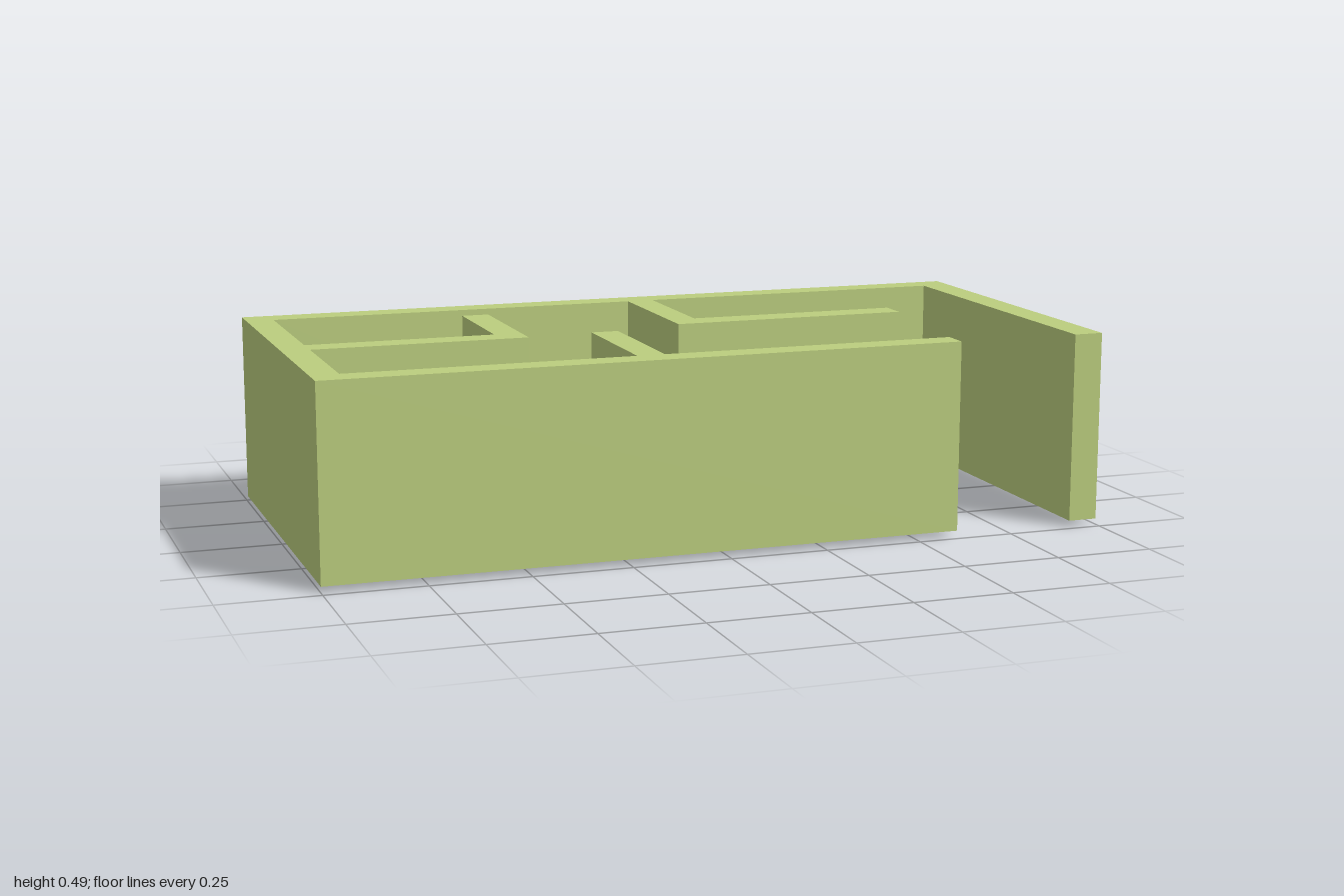
import * as THREE from 'three';
import { RoundedBoxGeometry } from 'three/addons/geometries/RoundedBoxGeometry.js';

const grey = new THREE.MeshStandardMaterial({ color: 0xcccccc });
const olive = new THREE.MeshStandardMaterial({ color: 0xbbcd7e });
const teal = new THREE.MeshStandardMaterial({ color: 0x91d1c6 });

// Box given by its limits on each axis; a radius rounds its edges.
function block(name, material, [x0, x1], [y0, y1], [z0, z1], radius = 0) {
  const size = [x1 - x0, y1 - y0, z1 - z0];
  const geometry = radius
    ? new RoundedBoxGeometry(...size, 4, radius)
    : new THREE.BoxGeometry(...size);
  const mesh = new THREE.Mesh(geometry, material);
  mesh.position.set((x0 + x1) / 2, (y0 + y1) / 2, (z0 + z1) / 2);
  mesh.name = name;
  return mesh;
}

function group(name, ...parts) {
  const g = new THREE.Group();
  g.name = name;
  g.add(...parts);
  return g;
}

// All walls as one continuous floor plan, pulled upward.
function createWalls() {
  const plan = [
    [-1, -0.48], [1, -0.48], [1, 0.48], [0.925, 0.48], [0.925, -0.41],
    [0.11, -0.41], [0.11, -0.075], [0.66, -0.075], [0.66, 0], [0.04, 0], [0.04, -0.41],
    [-0.93, -0.41], [-0.93, 0], [-0.45, 0], [-0.45, -0.315], [-0.38, -0.315], [-0.38, 0.07],
    [-0.93, 0.07], [-0.93, 0.41], [-0.21, 0.41], [-0.21, 0.05], [-0.14, 0.05], [-0.14, 0.41],
    [0.61, 0.41], [0.61, 0.48], [-1, 0.48],
  ];
  const shape = new THREE.Shape(plan.map(([x, z]) => new THREE.Vector2(x, -z)));
  const geometry = new THREE.ExtrudeGeometry(shape, { depth: 0.48, bevelEnabled: false });
  geometry.rotateX(-Math.PI / 2);
  const walls = new THREE.Mesh(geometry, olive);
  walls.position.y = 0.015;
  walls.name = 'walls';
  return walls;
}

// Open shelf unit: back against local -z, open toward +z.
function createShelf(name, width, depth, height) {
  const t = 0.012, w = width / 2, d = depth / 2;
  const shelf = group(name,
    block('shelfBack', teal, [-w, w], [0, height], [-d, -d + t]));
  for (const s of [-1, 1]) {
    const x = s * (w - t / 2);
    shelf.add(block('shelfSide', teal, [x - t / 2, x + t / 2], [0, height], [-d, d]));
  }
  for (let i = 0; i < 4; i++) {
    const y = (i * (height - t)) / 3;
    shelf.add(block('shelfBoard', teal, [-w + t, w - t], [y, y + t], [-d + t, d]));
  }
  return shelf;
}

function createSofa() {
  const sofa = group('sofa',
    block('sofaSeat', grey, [0.04, 0.49], [0.012, 0.075], [0.23, 0.375]),
    block('sofaBack', grey, [0.04, 0.49], [0.012, 0.14], [0.375, 0.408]),
    block('sofaArm', grey, [0.01, 0.04], [0.012, 0.135], [0.225, 0.408]),
    block('sofaArm', grey, [0.49, 0.52], [0.012, 0.135], [0.222, 0.408]));
  for (let i = 0; i < 3; i++) {
    const x = 0.063 + i * 0.146;
    sofa.add(block('sofaCushion', teal, [x, x + 0.125], [0.07, 0.1], [0.245, 0.367], 0.012));
  }
  return sofa;
}

// Framed panel hung on the inside of the front wall.
function createPicture() {
  const [x0, x1, y0, y1, t] = [-0.635, -0.265, 0.175, 0.36, 0.01];
  const z = [0.398, 0.41];
  return group('wallPanel',
    block('panelFace', teal, [x0 + t, x1 - t], [y0 + t, y1 - t], [0.403, 0.41]),
    block('panelFrame', teal, [x0, x1], [y0, y0 + t], z),
    block('panelFrame', teal, [x0, x1], [y1 - t, y1], z),
    block('panelFrame', teal, [x0, x0 + t], [y0 + t, y1 - t], z),
    block('panelFrame', teal, [x1 - t, x1], [y0 + t, y1 - t], z));
}

export function createModel() {
  const model = group('housePlan', createWalls(), createSofa(), createPicture());

  // Double bed in the back right room
  model.add(group('doubleBed',
    block('mattress', grey, [-0.84, -0.525], [0, 0.1], [-0.385, -0.105]),
    block('headboard', teal, [-0.86, -0.505], [0.01, 0.16], [-0.412, -0.382], 0.014),
    block('pillow', teal, [-0.82, -0.7], [0.095, 0.125], [-0.378, -0.318], 0.014),
    block('pillow', teal, [-0.65, -0.53], [0.095, 0.125], [-0.378, -0.318], 0.014)));

  // Single bed in the back left room
  model.add(group('singleBed',
    block('mattress', grey, [0.13, 0.44], [0.005, 0.1], [-0.38, -0.117], 0.025),
    block('headboard', teal, [0.108, 0.143], [0.01, 0.16], [-0.372, -0.127], 0.014),
    block('pillow', teal, [0.143, 0.204], [0.095, 0.125], [-0.327, -0.182], 0.014)));

  // Shelf units against the back and right walls
  const backShelf = createShelf('backShelf', 0.29, 0.128, 0.17);
  backShelf.position.set(-0.12, 0.01, -0.344);
  const sideShelf = createShelf('sideShelf', 0.285, 0.105, 0.17);
  sideShelf.position.set(-0.878, 0.01, 0.243);
  sideShelf.rotation.y = Math.PI / 2;
  model.add(backShelf, sideShelf);

  return model;
}
